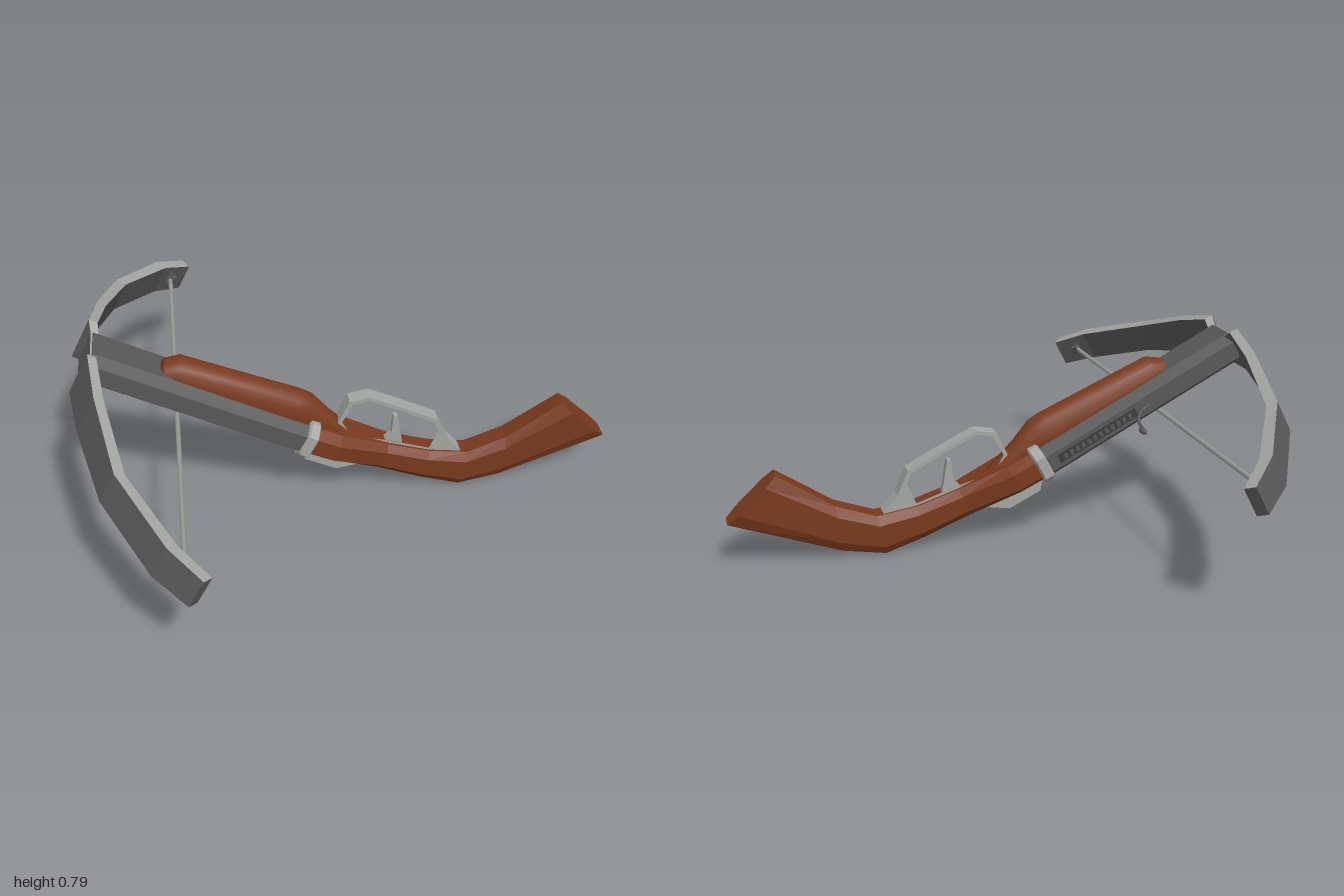
import * as THREE from 'three';
import { toCreasedNormals } from 'three/addons/utils/BufferGeometryUtils.js';

const material = (name, color, extra = {}) => {
  const m = new THREE.MeshStandardMaterial({ color, ...extra });
  m.name = name;
  return m;
};

// Skin convex cross-sections (equal-length loops of [x, y, z]) and cap both ends.
// Group 0 holds everything except the side strip "accent", which is group 1.
function loft(sections, accent = -1) {
  const n = sections[0].length;
  const main = [], strip = [];
  for (let j = 0; j < n; j++) {
    const k = (j + 1) % n;
    const out = j === accent ? strip : main;
    for (let i = 0; i + 1 < sections.length; i++) {
      const [a, b] = [sections[i], sections[i + 1]];
      out.push([a[j], a[k], b[k]], [a[j], b[k], b[j]]);
    }
  }
  const first = sections[0], last = sections[sections.length - 1];
  for (let j = 1; j + 1 < n; j++) {
    main.push([first[0], first[j + 1], first[j]], [last[0], last[j], last[j + 1]]);
  }
  const tris = [...main, ...strip];
  // Turn the surface outwards if its enclosed volume is negative
  const V = (p) => new THREE.Vector3(...p);
  const volume = tris.reduce((s, [a, b, c]) => s + V(a).dot(V(b).cross(V(c))), 0);
  if (volume < 0) tris.forEach((t) => t.reverse());
  const g = new THREE.BufferGeometry();
  g.setAttribute('position', new THREE.Float32BufferAttribute(tris.flat(2), 3));
  if (accent >= 0) {
    g.addGroup(0, main.length * 3, 0);
    g.addGroup(main.length * 3, strip.length * 3, 1);
  }
  g.computeVertexNormals();
  return g;
}

// Cross-section between a bottom and a top point: profile is [z / halfWidth, height 0..1]
const section = ([bx, by, tx, ty, w], profile) =>
  profile.map(([z, t]) => [bx + (tx - bx) * t, by + (ty - by) * t, z * w]);

const mirrorProfile = (half) => [...half, ...half.map(([z, t]) => [-z, t]).reverse()];
const OCTAGON = mirrorProfile([[0.65, 0], [1, 0.22], [1, 0.78], [0.62, 1]]);
const ROUND = mirrorProfile([[1, 0], [1, 0.4], [0.92, 0.66], [0.71, 0.85], [0.38, 0.96], [0.1, 1]]);

// Flat outline in x/y, extruded evenly to both sides of z = 0
function plate(points, half, hole) {
  const shape = new THREE.Shape(points.map((p) => new THREE.Vector2(...p)));
  if (hole) shape.holes.push(new THREE.Path(hole.map((p) => new THREE.Vector2(...p))));
  return new THREE.ExtrudeGeometry(shape, { depth: half * 2, bevelEnabled: false })
    .translate(0, 0, -half);
}

export function createModel() {
  const wood = material('wood', 0x78391d);
  const steel = material('dark steel', 0x585858);
  const bright = material('bright metal', 0xa3a6a3);
  const cord = material('cord', 0x969a94);
  const slotDark = material('slot shadow', 0x3c3c3c);

  const model = new THREE.Group();
  const add = (name, geometry, mat, parent = model) => {
    const mesh = new THREE.Mesh(geometry, mat);
    mesh.name = name;
    parent.add(mesh);
    return mesh;
  };

  // Butt stock, swept from the collar back to the slanted butt
  add('buttStock', loft([
    [-0.19, 0.25, -0.14, 0.355, 0.1],
    [-0.09, 0.205, -0.04, 0.31, 0.107],
    [0.1, 0.125, 0.14, 0.23, 0.066],
    [0.27, 0.055, 0.3, 0.178, 0.062],
    [0.42, 0.005, 0.45, 0.155, 0.06],
    [0.58, 0.033, 0.6, 0.21, 0.058],
    [0.99, 0.18, 0.81, 0.35, 0.055],
  ].map((s) => section(s, OCTAGON))), wood);

  // Rounded wooden fore-end lying on the barrel
  add('foreEnd', toCreasedNormals(loft([
    [-0.7, 0.61, -0.69, 0.638, 0.028],
    [-0.685, 0.595, -0.668, 0.665, 0.05],
    [-0.65, 0.575, -0.605, 0.674, 0.063],
    [-0.24, 0.36, -0.18, 0.485, 0.063],
    [-0.2, 0.34, -0.14, 0.46, 0.06],
    [-0.13, 0.31, -0.08, 0.385, 0.052],
    [-0.03, 0.26, 0.02, 0.285, 0.04],
  ].map((s) => section(s, ROUND))), 0.6), wood);

  // Trigger guard, trigger and lower plate
  add('triggerGuard', plate(
    [[-0.07, 0.29], [-0.05, 0.35], [-0.008, 0.435], [0.07, 0.448], [0.2, 0.385], [0.33, 0.318],
      [0.37, 0.225], [0.43, 0.152], [0.3, 0.165], [0.14, 0.21]],
    0.03,
    [[-0.036, 0.345], [0.005, 0.422], [0.068, 0.434], [0.19, 0.374], [0.315, 0.307],
      [0.335, 0.27], [0.3, 0.187], [0.15, 0.238], [0, 0.28]]), bright);
  add('trigger', plate([[0.162, 0.34], [0.178, 0.34], [0.187, 0.28], [0.2, 0.2], [0.12, 0.225],
    [0.155, 0.26]], 0.014), bright);
  add('lowerPlate', plate([[-0.19, 0.25], [-0.18, 0.19], [-0.06, 0.13], [0.03, 0.145],
    [0.06, 0.17], [-0.08, 0.23]], 0.035), bright);

  // Front assembly: x runs along the tilted barrel, y across it
  const front = new THREE.Group();
  front.name = 'frontAssembly';
  front.rotation.z = -28 * Math.PI / 180;
  model.add(front);

  add('barrel', loft([-1.158, -0.295].map((u) => section([u, 0.132, u, 0.25, 0.107], OCTAGON))),
    steel, front);
  add('collar', loft([-0.318, -0.312, -0.28, -0.274].map((u, i) => {
    const e = i % 3 ? 0.008 : 0;
    return section([u, 0.126 - e, u, 0.262 + e, 0.112 + e], OCTAGON);
  })), bright, front);

  // Bow limbs: [z, outer x, bottom, top, thickness in x, inset in z]
  const half = [
    [0.065, -1.165, 0.125, 0.242, 0.03, 0],
    [0.11, -1.183, 0.098, 0.267, 0.033, 0],
    [0.3, -1.145, 0.085, 0.238, 0.035, 0.006],
    [0.6, -1.05, 0.065, 0.187, 0.037, 0.014],
    [0.87, -0.875, 0.058, 0.181, 0.038, 0.025],
    [0.97, -0.755, 0.065, 0.177, 0.03, 0.03],
  ];
  const limb = (s) => ([z, u, b, t, d, inset]) => {
    const inner = s * (z - inset);
    return [[u, b, s * z], [u, t, s * z], [u + d, t, inner], [u + d, b, inner]];
  };
  add('bow', loft([...half.map(limb(-1)).reverse(), ...half.map(limb(1))], 1),
    [steel, bright], front);

  // Bowstring and its two anchors
  add('bowstring', new THREE.CylinderGeometry(0.009, 0.009, 1.78, 8)
    .rotateX(Math.PI / 2).translate(-0.79, 0.124, 0), cord, front);
  for (const s of [-1, 1]) {
    const anchor = new THREE.Group();
    anchor.name = 'stringAnchor';
    anchor.position.set(-0.795, 0.124, s * 0.885);
    anchor.rotation.y = s * 0.7;
    front.add(anchor);
    add('anchorBlock', new THREE.BoxGeometry(0.06, 0.035, 0.03), steel, anchor);
    add('anchorPin', new THREE.CylinderGeometry(0.012, 0.012, 0.05, 8), steel, anchor);
  }

  // Recessed rack on the right side of the barrel
  add('rackSlot', new THREE.BoxGeometry(0.34, 0.034, 0.006).translate(-0.53, 0.19, -0.108),
    slotDark, front);
  for (let i = 0; i < 12; i++) {
    add('rackTooth', new THREE.BoxGeometry(0.014, 0.02, 0.008)
      .translate(-0.67 + i * 0.0255, 0.19, -0.11), steel, front);
  }

  // Cocking lever with a flattened knob
  const path = new THREE.CatmullRomCurve3([[-0.58, 0.515, -0.105], [-0.54, 0.5, -0.122],
    [-0.527, 0.47, -0.14], [-0.525, 0.455, -0.19]].map((p) => new THREE.Vector3(...p)));
  add('leverArm', new THREE.TubeGeometry(path, 12, 0.006, 6), steel);
  add('leverKnob', new THREE.SphereGeometry(1, 12, 8).scale(0.012, 0.011, 0.03)
    .translate(-0.522, 0.45, -0.195), steel);

  return model;
}
